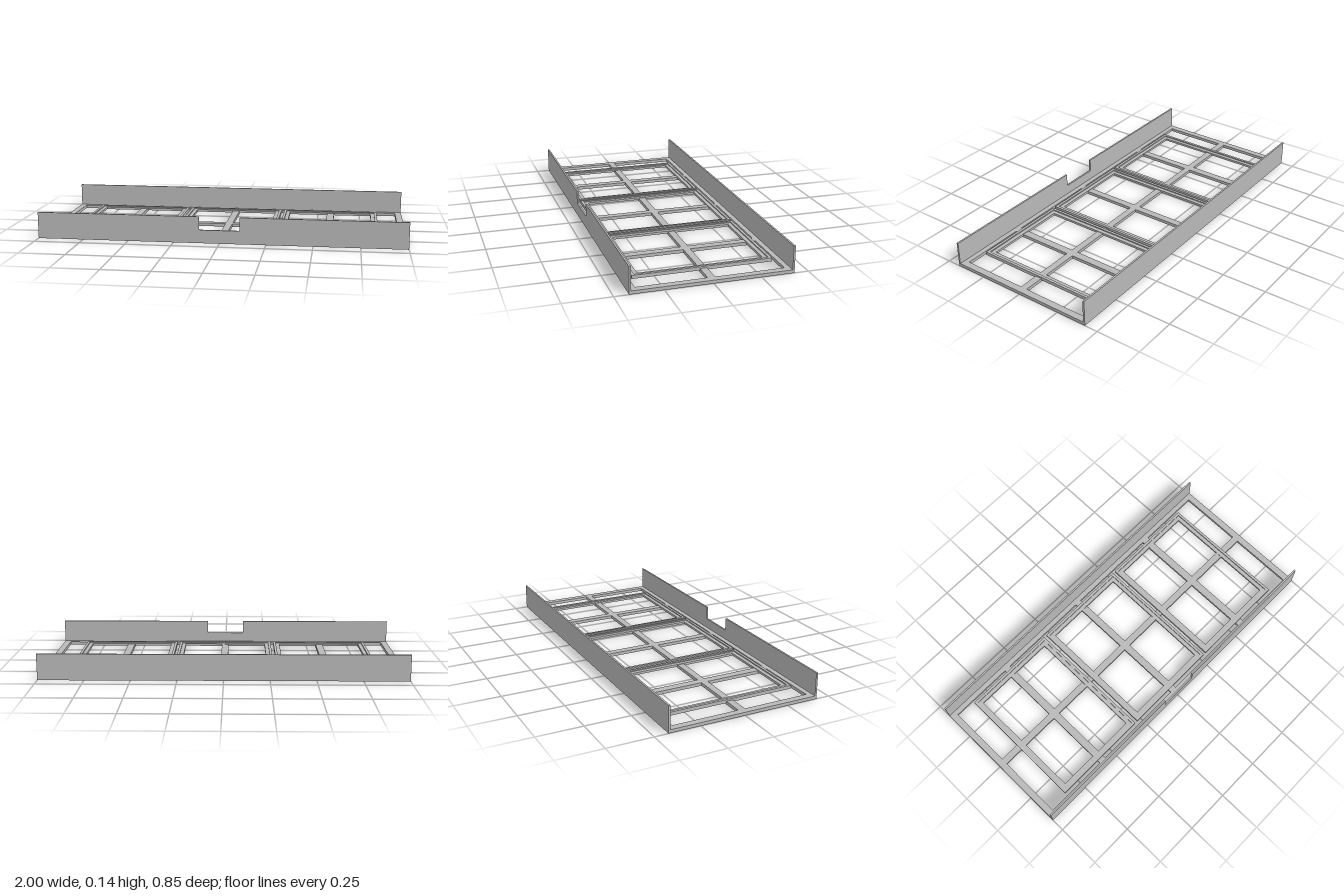
import * as THREE from 'three';

const grey = new THREE.MeshStandardMaterial({ color: 0xb8b8b8 });
grey.name = 'light grey';

// rectangle outline centred on (x, y)
function rect(target, x, y, w, h) {
  target.moveTo(x - w / 2, y - h / 2);
  target.lineTo(x + w / 2, y - h / 2);
  target.lineTo(x + w / 2, y + h / 2);
  target.lineTo(x - w / 2, y + h / 2);
  target.closePath();
  return target;
}

// flat plate lying in xz, from y0 to y1
function plate(name, shape, y0, y1) {
  const geo = new THREE.ExtrudeGeometry(shape, { depth: y1 - y0, bevelEnabled: false });
  geo.rotateX(-Math.PI / 2).translate(0, y0, 0);
  const mesh = new THREE.Mesh(geo, grey);
  mesh.name = name;
  return mesh;
}

// rectangular ring
function ring(name, w, d, border, y0, y1) {
  const shape = rect(new THREE.Shape(), 0, 0, w, d);
  shape.holes.push(rect(new THREE.Path(), 0, 0, w - 2 * border, d - 2 * border));
  return plate(name, shape, y0, y1);
}

export function createModel() {
  const model = new THREE.Group();
  model.name = 'trayFrame';
  const halfDepth = 0.425, baseTop = 0.018, wall = 0.01, height = 0.145;

  // base lattice: outer border, one long rail and three cross bars
  const base = rect(new THREE.Shape(), 0, 0, 2, halfDepth * 2);
  const spans = [[-0.963, -0.597], [-0.555, -0.02], [0.02, 0.555], [0.597, 0.963]];
  for (const [a, b] of spans) {
    for (const s of [-1, 1]) {
      base.holes.push(rect(new THREE.Path(), (a + b) / 2, s * 0.203, b - a, 0.368));
    }
  }
  model.add(plate('baseLattice', base, 0, baseTop));

  // three panel seats: raised lip around a lower ledge
  for (const x of [-0.573, 0, 0.573]) {
    const seat = new THREE.Group();
    seat.name = 'panelSeat';
    seat.add(ring('seatLip', 0.556, 0.74, 0.015, 0.008, 0.027));
    seat.add(ring('seatLedge', 0.526, 0.71, 0.022, 0.008, 0.021));
    seat.position.x = x;
    model.add(seat);
  }

  // back wall
  const back = new THREE.Mesh(new THREE.BoxGeometry(2, height, wall), grey);
  back.name = 'backWall';
  back.position.set(0, height / 2, -halfDepth + wall / 2);
  model.add(back);

  // front wall with a round-cornered notch
  const n = 0.11, floor = 0.072, r = 0.008;
  const s = new THREE.Shape();
  s.moveTo(-1, 0);
  s.lineTo(1, 0);
  s.lineTo(1, height);
  s.lineTo(n, height);
  s.lineTo(n, floor + r);
  s.quadraticCurveTo(n, floor, n - r, floor);
  s.lineTo(-n + r, floor);
  s.quadraticCurveTo(-n, floor, -n, floor + r);
  s.lineTo(-n, height);
  s.lineTo(-1, height);
  s.closePath();
  const frontGeo = new THREE.ExtrudeGeometry(s, { depth: wall, bevelEnabled: false, curveSegments: 6 });
  const front = new THREE.Mesh(frontGeo, grey);
  front.name = 'frontWall';
  front.position.z = halfDepth - wall;
  model.add(front);

  return model;
}
